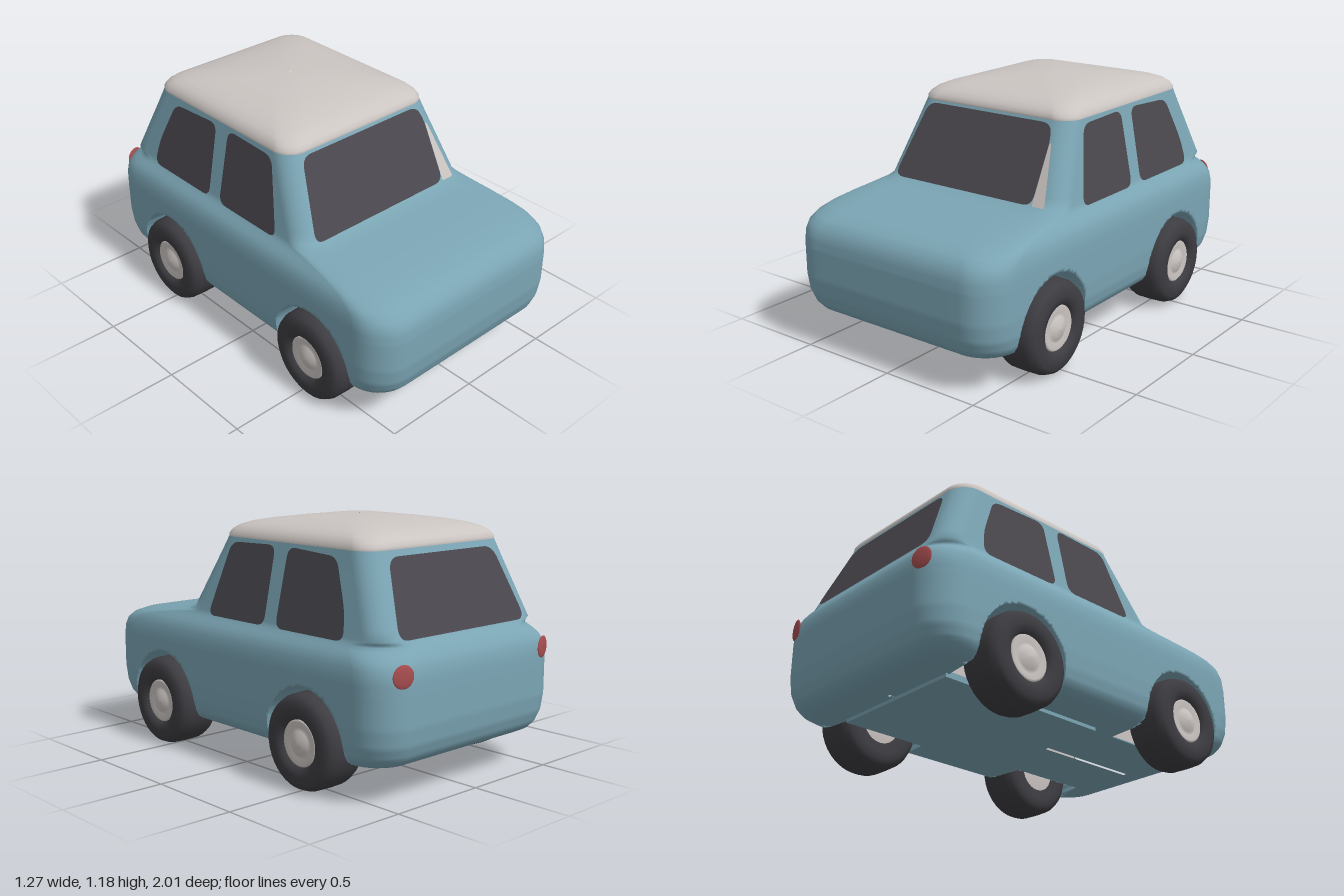
import * as THREE from 'three';

const mat = (name, color, side = THREE.FrontSide) => {
  const m = new THREE.MeshStandardMaterial({ color, side });
  m.name = name;
  return m;
};

const AXLES = [0.543, -0.508];
const WHEEL_Y = 0.223, ARCH_R = 0.25, WELL_X = 0.33;

// Horizontal sections from floor to roof: [y, half width, front z, back z, corner radius]
const BODY = [
  [0.16, 0.01, 0.78, -0.78, 0.01],
  [0.16, 0.5, 0.86, -0.87, 0.14],
  [0.167, 0.535, 0.905, -0.91, 0.15],
  [0.185, 0.56, 0.945, -0.945, 0.16],
  [0.215, 0.58, 0.97, -0.97, 0.17],
  [0.27, 0.592, 0.99, -0.99, 0.17],
  [0.35, 0.597, 1.0, -1.0, 0.17],
  [0.5, 0.597, 1.0, -1.0, 0.17],
  [0.56, 0.596, 0.993, -0.999, 0.17],
  [0.6, 0.59, 0.975, -0.993, 0.17],
  [0.63, 0.58, 0.94, -0.982, 0.18],
  [0.652, 0.566, 0.88, -0.968, 0.19],
  [0.67, 0.551, 0.79, -0.953, 0.2],
  [0.685, 0.538, 0.67, -0.94, 0.2],
  [0.698, 0.53, 0.52, -0.927, 0.16],
  [0.712, 0.525, 0.425, -0.915, 0.1],
  [0.8, 0.5066, 0.3795, -0.877, 0.1],
  [0.9, 0.4856, 0.328, -0.8336, 0.1],
  [1.0, 0.4647, 0.276, -0.79, 0.1],
  [1.072, 0.45, 0.24, -0.76, 0.1],
];
const ROOF = [
  [1.072, 0.45, 0.24, -0.76, 0.1],
  [1.085, 0.449, 0.241, -0.761, 0.1],
  [1.105, 0.438, 0.228, -0.748, 0.1],
  [1.125, 0.418, 0.202, -0.722, 0.1],
  [1.143, 0.38, 0.155, -0.675, 0.1],
  [1.158, 0.32, 0.08, -0.6, 0.1],
  [1.172, 0.23, -0.02, -0.5, 0.1],
  [1.182, 0.12, -0.13, -0.39, 0.08],
  [1.186, 0.002, -0.25, -0.27, 0.002],
];

// Rounded rectangle ring, running from the front centre towards +x
function ring([y, w, zf, zb, rad], nSide) {
  const r = Math.min(rad, w, (zf - zb) / 2), pts = [], nEnd = 12, nArc = 10;
  const line = (x0, z0, x1, z1, n) => {
    for (let i = 0; i < n; i++) {
      const t = i / n;
      pts.push([x0 + (x1 - x0) * t, y, z0 + (z1 - z0) * t]);
    }
  };
  const arc = (cx, cz, a0) => {
    for (let i = 0; i < nArc; i++) {
      const a = a0 + (i / nArc) * Math.PI / 2;
      pts.push([cx + r * Math.sin(a), y, cz + r * Math.cos(a)]);
    }
  };
  line(-w + r, zf, w - r, zf, nEnd);
  arc(w - r, zf - r, 0);
  line(w, zf - r, w, zb + r, nSide);
  arc(w - r, zb + r, Math.PI / 2);
  line(w - r, zb, -w + r, zb, nEnd);
  arc(-w + r, zb + r, Math.PI);
  line(-w, zb + r, -w, zf - r, nSide);
  arc(-w + r, zf - r, Math.PI * 1.5);
  return pts;
}

// Press the wheel wells into the sides, snapping nearby points onto the arch edge
function pressWell(p) {
  if (Math.abs(p[0]) <= WELL_X) return;
  for (const zc of AXLES) {
    const dy = p[1] - WHEEL_Y, dz = p[2] - zc, d = Math.hypot(dy, dz);
    if (Math.abs(d - ARCH_R) < 0.008) {
      p[1] = WHEEL_Y + dy * ARCH_R / d;
      p[2] = zc + dz * ARCH_R / d;
    } else if (d < ARCH_R) p[0] = Math.sign(p[0]) * WELL_X;
  }
}

function loft(sections, nSide, rule) {
  const rows = [sections[0]];
  for (let k = 1; k < sections.length; k++) {
    const a = sections[k - 1], b = sections[k];
    const step = a[0] < 0.5 ? 0.015 : 0.06;
    const n = Math.ceil(Math.max(Math.abs(b[0] - a[0]), Math.abs(b[1] - a[1])) / step);
    for (let i = 1; i <= n; i++) rows.push(a.map((v, j) => v + (b[j] - v) * i / n));
  }
  const pos = [], idx = [];
  let n = 0;
  rows.forEach((row, j) => {
    const pts = ring(row, nSide);
    n = pts.length;
    pts.forEach((p, i) => {
      if (rule) rule(p);
      pos.push(...p);
      if (j === 0) return;
      const a = (j - 1) * n + i, b = (j - 1) * n + (i + 1) % n;
      idx.push(a, b, b + n, a, b + n, a + n);
    });
  });
  const g = new THREE.BufferGeometry();
  g.setAttribute('position', new THREE.Float32BufferAttribute(pos, 3));
  g.setIndex(idx);
  g.computeVertexNormals();
  return g;
}

// Polygon with rounded corners
function softShape(pts, r) {
  const s = new THREE.Shape(), P = pts.map(p => new THREE.Vector2(...p)), n = P.length;
  P.forEach((p, i) => {
    const toward = q => p.clone().add(q.clone().sub(p).setLength(Math.min(r, p.distanceTo(q) / 2)));
    const a = toward(P[(i + n - 1) % n]), b = toward(P[(i + 1) % n]);
    if (i === 0) s.moveTo(a.x, a.y); else s.lineTo(a.x, a.y);
    s.quadraticCurveTo(p.x, p.y, b.x, b.y);
  });
  s.closePath();
  return s;
}

// Flat shape laid onto a surface given by map(u, v) -> [x, y, z]
function plate(shape, map) {
  const g = new THREE.ShapeGeometry(shape, 10), p = g.attributes.position;
  for (let i = 0; i < p.count; i++) p.setXYZ(i, ...map(p.getX(i), p.getY(i)));
  g.computeVertexNormals();
  return g;
}

export function createModel() {
  const car = new THREE.Group();
  car.name = 'car';
  const blue = mat('bodyBlue', 0x7ba5b4);
  const pale = mat('paleGrey', 0xcbc5c2, THREE.DoubleSide);
  const glass = mat('darkGlass', 0x4a484e, THREE.DoubleSide);
  const rubber = mat('tyreRubber', 0x3d3c41);
  const red = mat('lampRed', 0xa84e50);
  const add = (name, geo, m, parent = car) => {
    const mesh = new THREE.Mesh(geo, m);
    mesh.name = name;
    parent.add(mesh);
    return mesh;
  };

  add('body', loft(BODY, 140, pressWell), blue);
  add('roof', loft(ROOF, 24), pale);
  add('underbodyPlate', new THREE.BoxGeometry(0.72, 0.03, 0.92), blue).position.set(0, 0.158, -0.29);

  // Glass planes follow the straight slopes of the cabin
  const slope = (y, low, high) => low + (high - low) * (y - 0.712) / 0.36;
  const frontMap = (x, y) => [x, y, slope(y, 0.425, 0.24) + 0.007];
  const backMap = (x, y) => [x, y, slope(y, -0.915, -0.76) - 0.007];
  add('windscreen', plate(softShape(
    [[-0.455, 0.715], [0.38, 0.715], [0.38, 1.0], [0.355, 1.062], [-0.375, 1.062]], 0.05), frontMap), glass);
  add('windscreenEdge', plate(softShape(
    [[0.381, 0.715], [0.452, 0.715], [0.392, 0.98], [0.381, 0.98]], 0.012), frontMap), pale);
  add('rearWindow', plate(softShape(
    [[-0.425, 0.71], [0.425, 0.71], [0.345, 1.045], [-0.345, 1.045]], 0.06), backMap), glass);

  const frontSide = softShape([[0.24, 0.693], [-0.175, 0.693], [-0.175, 1.058], [0.14, 1.05]], 0.05);
  const rearSide = softShape(
    [[-0.255, 0.693], [-0.7, 0.693], [-0.68, 0.82], [-0.585, 1.04], [-0.265, 1.058]], 0.05);
  const liner = new THREE.Shape();
  liner.absarc(0, 0, 0.245, -0.25, Math.PI + 0.25, false);

  const tyreProfile = [[0.09, -0.1], [0.15, -0.112], [0.185, -0.108], [0.208, -0.094], [0.22, -0.065],
    [0.222, 0], [0.22, 0.065], [0.208, 0.094], [0.185, 0.108], [0.15, 0.112], [0.118, 0.106], [0.105, 0.085]];
  const hubProfile = [[0, -0.103], [0.1, -0.103], [0.108, -0.09], [0.108, 0.088], [0.098, 0.096],
    [0.07, 0.088], [0.055, 0.092], [0.035, 0.104], [0, 0.108]];
  const lathe = pts => new THREE.LatheGeometry(pts.map(p => new THREE.Vector2(...p)), 40).rotateZ(-Math.PI / 2);
  const tyreGeo = lathe(tyreProfile), hubGeo = lathe(hubProfile);

  for (const s of [1, -1]) {
    const side = s > 0 ? 'left' : 'right';
    const sideMap = (z, y) => [s * (slope(y, 0.525, 0.45) + 0.006), y, z];
    add(side + 'FrontSideWindow', plate(frontSide, sideMap), glass);
    add(side + 'RearSideWindow', plate(rearSide, sideMap), glass);

    // Tail lamp on the rounded rear corner
    const lamp = add(side + 'TailLamp', new THREE.SphereGeometry(0.052, 24, 12), red);
    lamp.scale.z = 0.16;
    lamp.position.set(s * 0.472, 0.58, -0.992);
    lamp.rotation.y = -s * 0.26;

    AXLES.forEach((z, i) => {
      const wheel = new THREE.Group();
      wheel.name = side + (i ? 'RearWheel' : 'FrontWheel');
      add('tyre', tyreGeo, rubber, wheel);
      add('hub', hubGeo, pale, wheel);
      wheel.position.set(s * 0.522, WHEEL_Y, z);
      if (s < 0) wheel.rotation.y = Math.PI;
      car.add(wheel);
      add(side + 'WheelWellLiner', plate(liner, (u, v) => [s * 0.336, WHEEL_Y + v, z + u]), pale);
    });
  }
  return car;
}
